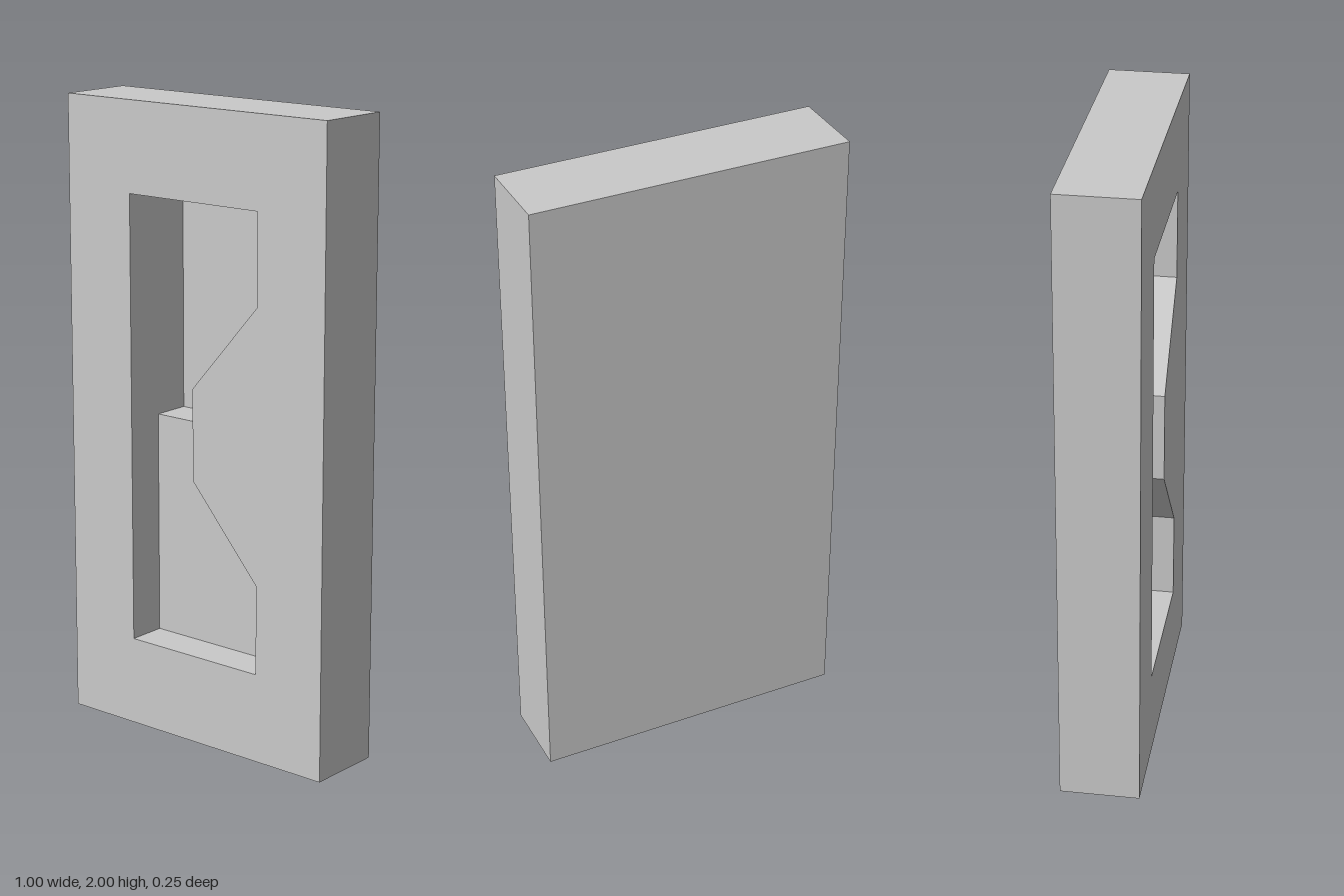
import * as THREE from 'three';

const shapeOf = (pts) => new THREE.Shape(pts.map(([x, y]) => new THREE.Vector2(x, y)));

export function createModel() {
  const model = new THREE.Group();
  model.name = 'recessedPanel';

  const grey = new THREE.MeshStandardMaterial({ color: 0xc9c9c9 });
  grey.name = 'lightGrey';

  const back = -0.125;
  const depth = 0.25;

  // Upper half of the recess outline; the lower half mirrors it about y = 1
  const upper = [[-0.25, 1], [0, 1], [0, 1.145], [0.25, 1.43], [0.25, 1.715], [-0.25, 1.715]];
  const lower = upper.map(([x, y]) => [x, 2 - y]).reverse();

  // Extrude a shape forward from the back plane
  const addSlab = (name, shape, thickness) => {
    const geometry = new THREE.ExtrudeGeometry(shape, { depth: thickness, bevelEnabled: false });
    geometry.translate(0, 0, back);
    const mesh = new THREE.Mesh(geometry, grey);
    mesh.name = name;
    model.add(mesh);
  };

  // Slab with the notched opening
  const frame = shapeOf([[-0.5, 0], [0.5, 0], [0.5, 2], [-0.5, 2]]);
  const opening = [...upper.slice(2), ...lower.slice(0, 4)];
  frame.holes.push(shapeOf(opening));
  addSlab('frame', frame, depth);

  // Deep floor above, half-depth step below
  addSlab('upperRecessFloor', shapeOf(upper), 0.002);
  addSlab('lowerRecessStep', shapeOf(lower), depth / 2);

  return model;
}
